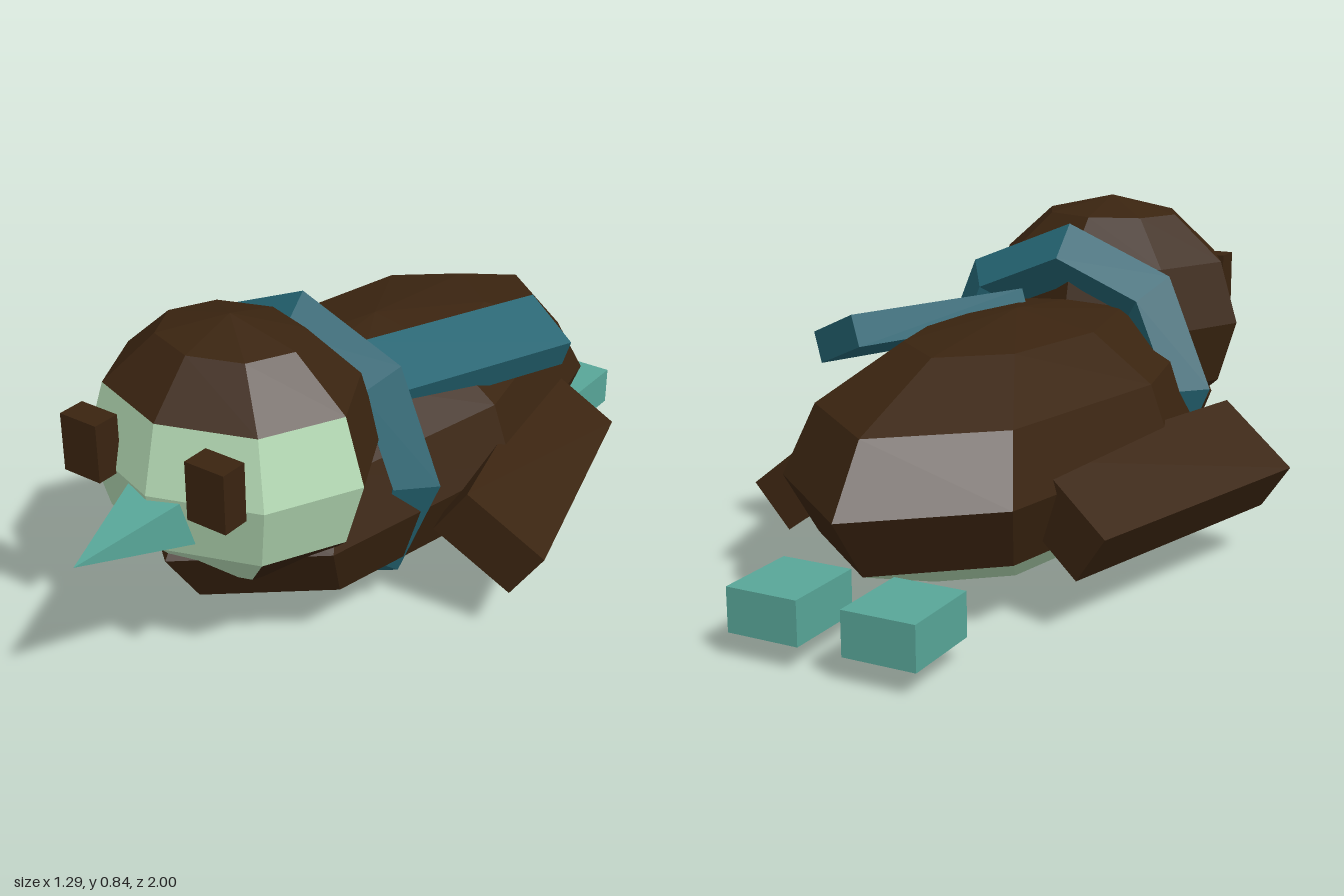
import * as THREE from 'three';

const material = (name, color) => {
  const m = new THREE.MeshStandardMaterial({ color, flatShading: true });
  m.name = name;
  return m;
};

export function createModel() {
  const brown = material('dark brown', 0x3a2410);
  const pale = material('pale green', 0xb4dab4);
  const teal = material('teal', 0x58a698);
  const blue = material('scarf blue', 0x246472);

  const model = new THREE.Group();
  model.name = 'lyingBird';

  const add = (name, geometry, mat, position, rotation = [0, 0, 0], parent = model) => {
    const mesh = new THREE.Mesh(geometry, mat);
    mesh.name = name;
    mesh.position.set(...position);
    mesh.rotation.set(...rotation);
    parent.add(mesh);
    return mesh;
  };
  const box = (...size) => new THREE.BoxGeometry(...size);

  // Faceted ellipsoid whose faces chosen by isPale(centroid) become a pale mesh
  const twoTone = (name, paleName, radii, position, isPale) => {
    const group = new THREE.Group();
    group.name = name;
    group.position.set(...position);
    const p = new THREE.SphereGeometry(1, 8, 6).toNonIndexed().getAttribute('position');
    const lists = [[], []];
    for (let i = 0; i < p.count; i += 3) {
      const c = new THREE.Vector3();
      const corners = [0, 1, 2].map(k => new THREE.Vector3().fromBufferAttribute(p, i + k));
      corners.forEach(v => c.addScaledVector(v, 1 / 3));
      const list = lists[isPale(c) ? 1 : 0];
      corners.forEach(v => list.push(v.x, v.y, v.z));
    }
    lists.forEach((list, k) => {
      const g = new THREE.BufferGeometry();
      g.setAttribute('position', new THREE.Float32BufferAttribute(list, 3));
      g.scale(...radii);
      g.computeVertexNormals();
      add(k ? paleName : name + 'Plumage', g, k ? pale : brown, [0, 0, 0], [0, 0, 0], group);
    });
    model.add(group);
  };

  // Body with pale belly, head with pale cheeks and chin
  twoTone('body', 'belly', [0.42, 0.31, 0.83], [0, 0.32, -0.11], c => c.y < -0.5);
  twoTone('head', 'face', [0.37, 0.325, 0.31], [0, 0.52, 0.46], c =>
    (c.z > 0 && Math.abs(c.y) < 0.5) || (c.y < -0.5 && c.y > -0.85 && c.z > Math.abs(c.x)));

  // Beak: four-sided pyramid pointing forward
  const beak = new THREE.ConeGeometry(Math.SQRT1_2, 0.3, 4, 1);
  beak.rotateY(Math.PI / 4).rotateX(Math.PI / 2).scale(0.175, 0.13, 1);
  add('beak', beak, teal, [0, 0.457, 0.85]);

  // Paired parts
  for (const [side, s] of [['left', 1], ['right', -1]]) {
    add(side + 'Eye', box(0.107, 0.145, 0.07), brown, [s * 0.182, 0.583, 0.743]);
    add(side + 'Foot', box(0.18, 0.105, 0.21), teal, [s * 0.145, 0.11, -0.895]);
    add(side + 'Flipper', box(0.24, 0.14, 0.72), brown,
      [s * 0.42, 0.258, -0.2], [0, s * 0.26, s * -0.62]);
  }

  // Scarf ring and trailing end
  add('scarf', new THREE.TorusGeometry(0.32, 0.08, 4, 8), blue, [0, 0.4, 0.19]);
  add('scarfTail', box(0.18, 0.08, 0.53), blue, [0.245, 0.57, -0.145], [0, -0.4, -0.39]);

  return model;
}
